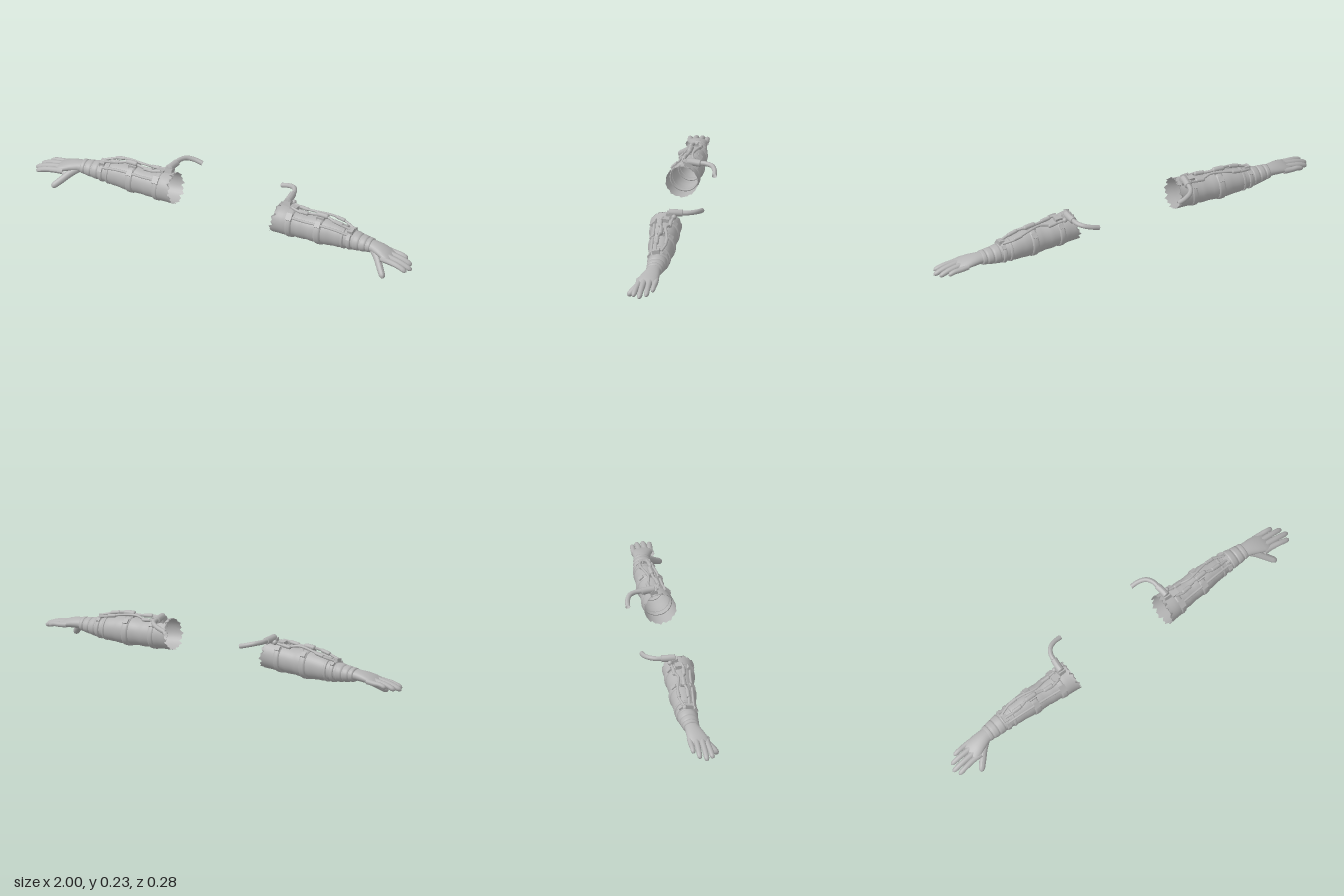
import * as THREE from 'three';

const V = (x, y, z) => new THREE.Vector3(x, y, z);

// Forearm cross-sections along x: [x, centre y, centre z, half height, half depth]
const ARM = [
  [0.26, 0.125, 0.036, 0.074, 0.077], [0.32, 0.12, 0.034, 0.073, 0.073],
  [0.38, 0.113, 0.029, 0.067, 0.066], [0.44, 0.109, 0.026, 0.065, 0.062],
  [0.5, 0.108, 0.023, 0.067, 0.061], [0.56, 0.106, 0.02, 0.064, 0.058],
  [0.62, 0.102, 0.018, 0.055, 0.052], [0.67, 0.099, 0.018, 0.045, 0.046],
  [0.72, 0.097, 0.021, 0.036, 0.041], [0.77, 0.098, 0.023, 0.029, 0.035],
];

function armAt(x) {
  let i = 0;
  while (i < ARM.length - 2 && ARM[i + 1][0] < x) i++;
  const t = (x - ARM[i][0]) / (ARM[i + 1][0] - ARM[i][0]);
  return ARM[i].map((v, k) => v + (ARM[i + 1][k] - v) * t);
}

// Point on (or above) the arm at distance x and angle a from the top towards the front
function onArm(x, a, lift = 0) {
  const [, y, z, ry, rz] = armAt(x);
  return V(x, y + Math.cos(a) * (ry + lift), z + Math.sin(a) * (rz + lift));
}

// Skin elliptical sections; shift(i, a) moves a point along x
function loft(sections, n = 28, shift = () => 0) {
  const pos = [], idx = [];
  sections.forEach(([x, y, z, ry, rz], i) => {
    for (let j = 0; j < n; j++) {
      const a = (j / n) * Math.PI * 2;
      pos.push(x + shift(i, a, j), y + Math.cos(a) * ry, z + Math.sin(a) * rz);
      if (i === sections.length - 1) continue;
      const k = (j + 1) % n, p = i * n, q = p + n;
      idx.push(p + j, p + k, q + j, p + k, q + k, q + j);
    }
  });
  const g = new THREE.BufferGeometry();
  g.setAttribute('position', new THREE.Float32BufferAttribute(pos, 3));
  g.setIndex(idx);
  g.computeVertexNormals();
  return g;
}

// Tube whose radius follows a rule f(u) along its length
function taperTube(points, r, f = () => 1, segs = 24, sides = 12) {
  const curve = new THREE.CatmullRomCurve3(points);
  const g = new THREE.TubeGeometry(curve, segs, r, sides);
  const p = g.attributes.position, v = V(0, 0, 0);
  for (let i = 0; i < p.count; i++) {
    const u = Math.floor(i / (sides + 1)) / segs;
    const c = curve.getPointAt(u);
    v.fromBufferAttribute(p, i).sub(c).multiplyScalar(f(u)).add(c);
    p.setXYZ(i, v.x, v.y, v.z);
  }
  g.computeVertexNormals();
  return g;
}
const round = (t) => Math.sqrt(Math.max(0, 1 - t * t));
const finger = (u) => (1.08 - 0.25 * u) * (u > 0.84 ? round((u - 0.84) / 0.16) : 1);
const pod = (u) => (u < 0.15 ? round(1 - u / 0.15) : u > 0.85 ? round((u - 0.85) / 0.15) : 1);

// Raised band hugging the arm
function band(x, w, lift) {
  return loft([[-1, -0.003], [-0.85, lift * 0.8], [-0.4, lift], [0.4, lift], [0.85, lift * 0.8], [1, -0.003]]
    .map(([t, l]) => {
      const s = armAt(x + (t * w) / 2);
      return [s[0], s[1], s[2], s[3] + l, s[4] + l];
    }));
}

// Small block lying on the arm surface
function block(x, a, w, h, d, lift = 0.005) {
  const g = new THREE.BoxGeometry(w, h, d);
  g.rotateX(a);
  const p = onArm(x, a, lift);
  return g.translate(p.x, p.y, p.z);
}

// Mirror a geometry across x and restore its winding
function mirrored(g) {
  const m = g.clone().scale(-1, 1, 1);
  const ix = m.index.array;
  for (let i = 0; i < ix.length; i += 3) [ix[i], ix[i + 1]] = [ix[i + 1], ix[i]];
  m.computeVertexNormals();
  return m;
}

function armParts() {
  const parts = [];
  const add = (name, g) => parts.push([name, g]);

  // Open sleeve with a torn inner end, and gentle folds
  const rows = [];
  for (let i = 0; i <= 26; i++) {
    const s = armAt(0.26 + i * 0.0196);
    const fold = i > 1 ? 0.0012 * Math.sin(i * 1.9) : 0;
    rows.push([s[0], s[1], s[2], s[3] + fold, s[4] + fold]);
  }
  add('sleeve', loft(rows, 36, (i, a, j) =>
    i === 0 ? 0.008 + 0.014 * Math.cos(a) + [0, 0.014, -0.006, 0.005][j % 4] : 0));

  // Straps, seams and cuff rolls
  [[0.355, 0.03, 0.005], [0.5, 0.036, 0.006], [0.625, 0.014, 0.004], [0.66, 0.022, 0.006]]
    .forEach(([x, w, l]) => add('armStrap', band(x, w, l)));
  [[0.695, 0.036, 0.004], [0.73, 0.034, 0.004], [0.76, 0.022, 0.004]]
    .forEach(([x, w, l]) => add('cuffRoll', band(x, w, l)));

  // Palm
  add('palm', loft([
    [0.755, 0.098, 0.023, 0.028, 0.034], [0.785, 0.098, 0.027, 0.026, 0.037],
    [0.82, 0.094, 0.033, 0.025, 0.044], [0.855, 0.086, 0.041, 0.021, 0.049],
    [0.88, 0.079, 0.044, 0.016, 0.047], [0.893, 0.076, 0.044, 0.007, 0.042], [0.895, 0.076, 0.044, 0, 0],
  ]));

  // Fingers: knuckle and tip heights, depths and reach
  [[0.002, 0.084, 0.95, 0.064, 0.006, 0.013], [0.03, 0.086, 0.985, 0.053, 0.032, 0.0145],
    [0.058, 0.085, 1.0, 0.047, 0.064, 0.015], [0.082, 0.079, 0.985, 0.05, 0.094, 0.0145]]
    .forEach(([z, y, tx, ty, tz, r]) => add('finger', taperTube(
      [V(0.845, y, z), V(0.885, y - 0.005, z), V((0.89 + tx) / 2, (y + ty) / 2 + 0.002, (z + tz) / 2), V(tx, ty, tz)], r, finger)));
  add('thumb', taperTube(
    [V(0.785, 0.089, 0.042), V(0.815, 0.068, 0.066), V(0.845, 0.04, 0.097), V(0.882, 0.008, 0.135)], 0.018, finger));

  // Clips, buckles and brackets on the straps
  [[0.355, -0.1, 0.036, 0.018, 0.03], [0.355, 0.75, 0.03, 0.014, 0.036], [0.355, -0.75, 0.024, 0.012, 0.024],
    [0.5, 0.05, 0.04, 0.016, 0.034], [0.5, 0.75, 0.028, 0.012, 0.03], [0.5, -0.7, 0.024, 0.012, 0.026],
    [0.66, 0.2, 0.026, 0.022, 0.036], [0.66, -0.6, 0.018, 0.012, 0.02], [0.66, 0.95, 0.018, 0.012, 0.024]]
    .forEach(([x, a, w, h, d]) => add('buckle', block(x, a, w, h, d)));

  // Strips lying along the arm between straps
  [[0.43, 0.75, 0.13], [0.58, 0.75, 0.15]].forEach(([x, a, len]) =>
    add('lengthwiseStrap', taperTube([-0.5, 0, 0.5].map((t) => onArm(x + t * len, a, 0.003)), 0.006)));

  // Hoses with swollen couplings along the top
  add('frontHose', taperTube([onArm(0.35, 0.1, 0.012), onArm(0.4, 0.25, 0.016), onArm(0.45, 0.1, 0.016),
    onArm(0.52, 0.05, 0.02), onArm(0.58, 0.25, 0.018), onArm(0.66, 0.2, 0.013)], 0.0065, undefined, 40, 10));
  add('backHose', taperTube([onArm(0.33, -0.5, 0.012), onArm(0.4, -0.4, 0.012), onArm(0.46, -0.2, 0.02),
    onArm(0.54, -0.35, 0.02), onArm(0.6, -0.45, 0.017), onArm(0.66, -0.25, 0.01)], 0.006, undefined, 40, 10));
  [[0.385, 0.44, 0.18, 0.016, 0.01], [0.475, 0.54, 0.05, 0.02, 0.012], [0.565, 0.62, 0.2, 0.018, 0.0095],
    [0.37, 0.42, -0.42, 0.012, 0.009], [0.56, 0.61, -0.42, 0.018, 0.0085]]
    .forEach(([x0, x1, a, lift, r]) => add('hoseCoupling', taperTube(
      [x0, (x0 + x1) / 2, x1].map((x) => onArm(x, a, lift)), r, pod)));

  // Port with a fitting and the trailing hose behind the elbow
  add('portBase', block(0.315, -0.3, 0.036, 0.026, 0.036, 0.006));
  add('portFitting', taperTube([V(0.315, 0.211, 0.02), V(0.313, 0.21, -0.015), V(0.308, 0.208, -0.052)],
    0.017, (u) => (u < 0.04 || u > 0.98 ? 0.1 : 1), 30));
  add('portKnob', new THREE.SphereGeometry(0.012, 14, 10).translate(0.335, 0.196, -0.012));
  add('trailingHose', taperTube([V(0.31, 0.209, -0.045), V(0.304, 0.209, -0.08), V(0.285, 0.207, -0.109),
    V(0.25, 0.198, -0.125), V(0.212, 0.187, -0.129)], 0.0115, undefined, 32, 14));
  return parts;
}

export function createModel() {
  const grey = new THREE.MeshStandardMaterial({ color: 0xb4b4b4, side: THREE.DoubleSide });
  grey.name = 'plain grey';
  const model = new THREE.Group();
  const parts = armParts();
  for (const side of ['left', 'right']) {
    const arm = new THREE.Group();
    arm.name = side + 'Arm';
    for (const [name, g] of parts) {
      const mesh = new THREE.Mesh(side === 'left' ? g : mirrored(g), grey);
      mesh.name = name;
      arm.add(mesh);
    }
    model.add(arm);
  }
  model.name = 'glovedForearms';
  return model;
}
